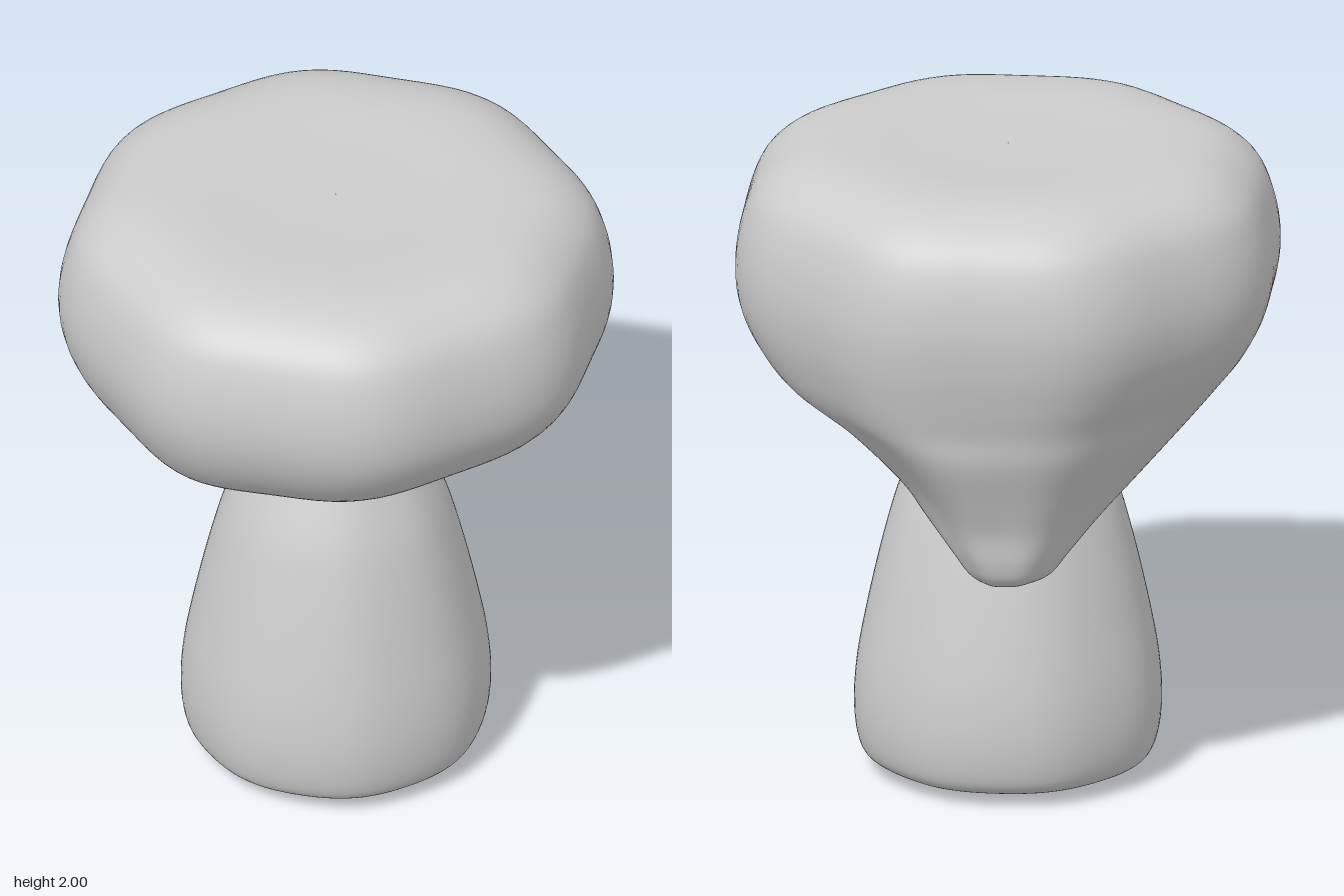
import * as THREE from 'three';

const SEG = 96;

// Smooth closed skin through rings given as [y, xMin, xMax, zMin, zMax], listed from top to bottom.
// lobes adds a faint eightfold swelling to the outline.
function skinRings(rings, steps, lobes) {
  const centres = new THREE.CatmullRomCurve3(
    rings.map(([y, x0, x1, z0, z1]) => new THREE.Vector3((x0 + x1) / 2, y, (z0 + z1) / 2)), false, 'catmullrom', 0.5);
  const radii = new THREE.CatmullRomCurve3(
    rings.map(([, x0, x1, z0, z1]) => new THREE.Vector3((x1 - x0) / 2, 0, (z1 - z0) / 2)), false, 'catmullrom', 0.5);
  const rows = (rings.length - 1) * steps;
  const pos = [], index = [];
  for (let i = 0; i <= rows; i++) {
    const c = centres.getPoint(i / rows), r = radii.getPoint(i / rows);
    for (let j = 0; j < SEG; j++) {
      const a = (j / SEG) * Math.PI * 2;
      const k = 1 - lobes * (1 - Math.cos(8 * a)) / 2;
      pos.push(c.x + r.x * k * Math.cos(a), c.y, c.z + r.z * k * Math.sin(a));
      if (i === rows) continue;
      const p = i * SEG + j, q = i * SEG + (j + 1) % SEG;
      index.push(p, q, p + SEG, q, q + SEG, p + SEG);
    }
  }
  const geo = new THREE.BufferGeometry();
  geo.setAttribute('position', new THREE.Float32BufferAttribute(pos, 3));
  geo.setIndex(index);
  geo.computeVertexNormals();
  return geo;
}

// Ring centred on the vertical axis
const round = (y, r) => [y, -r, r, -r, r];

export function createModel() {
  const group = new THREE.Group();
  const material = new THREE.MeshStandardMaterial({ color: 0xcccccc });
  const add = (name, geometry) => {
    const mesh = new THREE.Mesh(geometry, material);
    mesh.name = name;
    group.add(mesh);
  };

  // Mushroom cap: flat top, full rim, underside drawn off-centre down to a rounded drip
  add('cap', skinRings([
    round(1.985, 0.001),
    round(1.99, 0.25),
    round(2.0, 0.48),
    round(1.975, 0.65),
    round(1.9, 0.765),
    round(1.79, 0.82),
    round(1.65, 0.843),
    [1.52, -0.825, 0.835, -0.825, 0.825],
    [1.4, -0.77, 0.81, -0.77, 0.75],
    [1.3, -0.68, 0.78, -0.7, 0.63],
    [1.2, -0.52, 0.74, -0.63, 0.41],
    [1.06, -0.26, 0.665, -0.53, 0.2],
    [0.95, -0.02, 0.615, -0.455, 0.08],
    [0.85, 0.17, 0.59, -0.395, -0.04],
    [0.79, 0.26, 0.56, -0.355, -0.1],
    [0.757, 0.33, 0.5, -0.29, -0.145],
    [0.745, 0.409, 0.411, -0.211, -0.209],
  ], 6, 0.035));

  // Tapering stem with a rounded foot and a shallow disc underneath
  add('stem', skinRings([
    round(1.35, 0.001),
    round(1.3, 0.14),
    round(1.17, 0.21),
    round(1.06, 0.26),
    round(0.9, 0.33),
    round(0.75, 0.375),
    round(0.55, 0.422),
    round(0.35, 0.46),
    round(0.2, 0.47),
    round(0.09, 0.455),
    round(0.045, 0.42),
    round(0.03, 0.36),
    round(0.025, 0.29),
    round(0.01, 0.24),
    round(0.002, 0.16),
    round(0, 0.001),
  ], 5, 0.012));

  return group;
}
